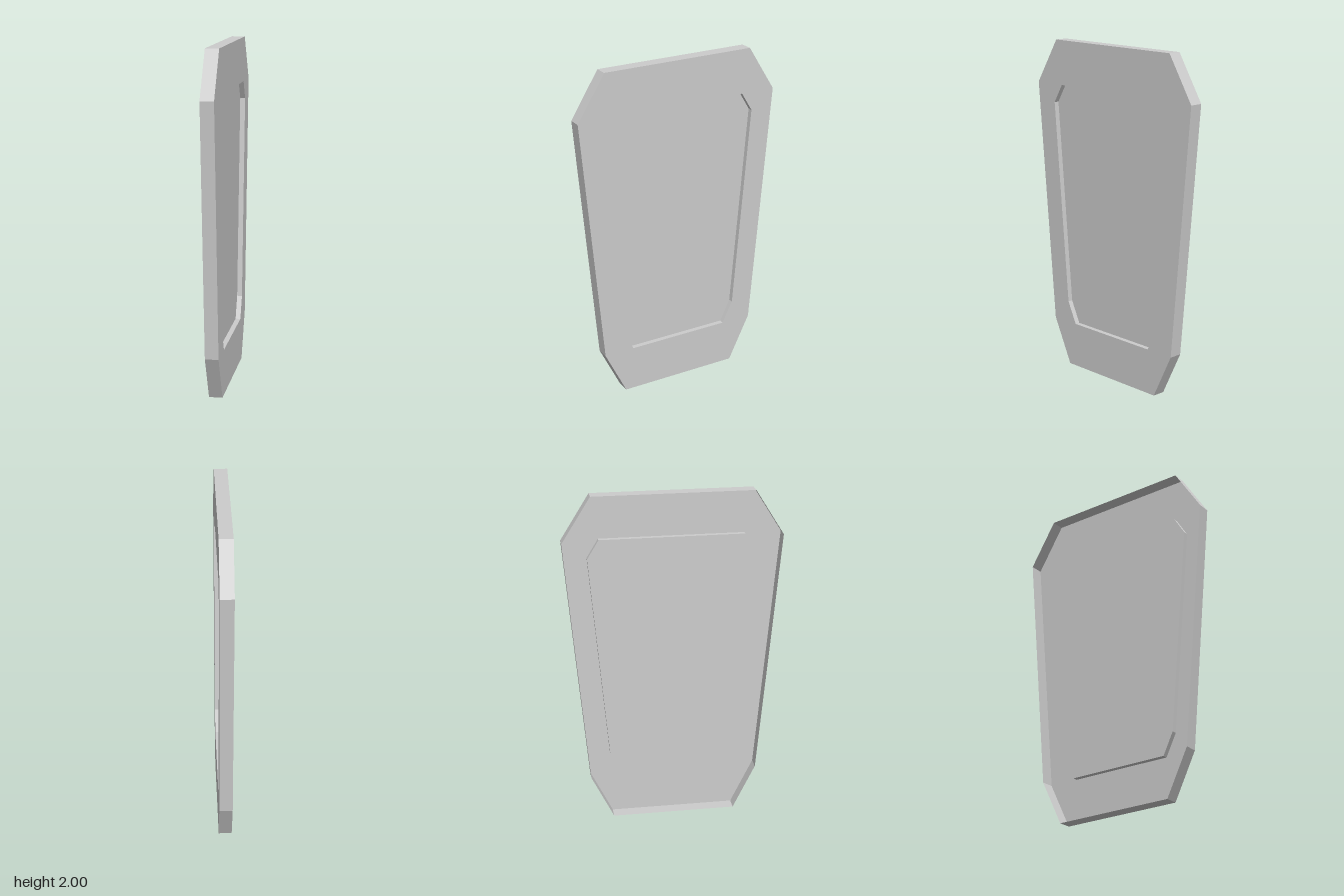
import * as THREE from 'three';

const HALF = 0.039;    // half thickness of the shell
const RECESS = 0.03;   // depth of the sunken panel

// Right half of each symmetric outline, bottom to top: [across, height]
const OUTER = [[0.367, 0], [0.5, 0.27], [0.632, 1.735], [0.466, 2]];
const INNER = [[0.314, 0.27], [0.378, 0.4], [0.487, 1.625], [0.42, 1.735]];

// Mirror a half outline into a full counter-clockwise loop
function loop(half) {
  const mirrored = half.map(([x, y]) => [-x, y]).reverse();
  return [...half, ...mirrored].map(([x, y]) => new THREE.Vector2(x, y));
}

// Flat-sided band following a loop between two depths
function wall(points, back, front) {
  const pos = [];
  points.forEach((p, i) => {
    const q = points[(i + 1) % points.length];
    pos.push(p.x, p.y, back, q.x, q.y, back, q.x, q.y, front);
    pos.push(p.x, p.y, back, q.x, q.y, front, p.x, p.y, front);
  });
  const geo = new THREE.BufferGeometry();
  geo.setAttribute('position', new THREE.Float32BufferAttribute(pos, 3));
  geo.computeVertexNormals();
  return geo;
}

export function createModel() {
  const group = new THREE.Group();
  group.name = 'recessedPlate';
  const grey = new THREE.MeshStandardMaterial({ color: 0xcccccc, side: THREE.DoubleSide });
  grey.name = 'light grey';

  const add = (name, geo) => {
    geo.rotateY(Math.PI / 2); // the face looks toward +x
    const mesh = new THREE.Mesh(geo, grey);
    mesh.name = name;
    group.add(mesh);
  };

  const outer = loop(OUTER);
  const inner = loop(INNER);

  // Border face around the sunken panel
  const border = new THREE.Shape(outer);
  border.holes.push(new THREE.Path(inner));
  add('borderFace', new THREE.ShapeGeometry(border).translate(0, 0, HALF));

  // Sunken panel and the step down to it
  add('sunkenPanel', new THREE.ShapeGeometry(new THREE.Shape(inner)).translate(0, 0, HALF - RECESS));
  add('recessWall', wall([...inner].reverse(), HALF - RECESS, HALF));

  // Outer rim; the shell is open on its -x side
  add('outerRim', wall(outer, -HALF, HALF));

  return group;
}
